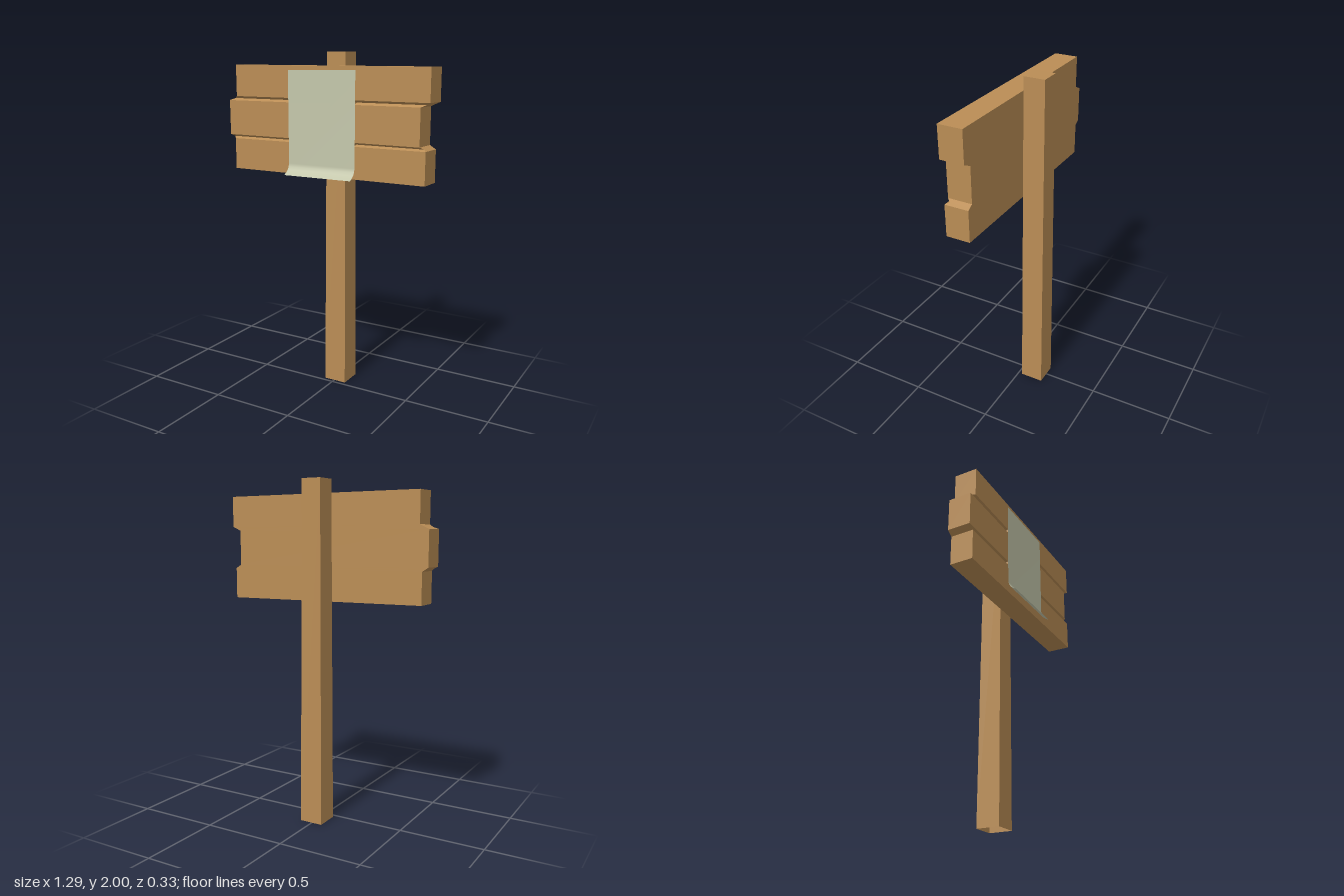
import * as THREE from 'three';

// Joins closed rings of points (counter-clockwise from above, lowest ring first) into a faceted solid.
function loft(rings, closeBottom) {
  const pos = [];
  const tri = (a, b, c) => pos.push(...a, ...b, ...c);
  const n = rings[0].length;
  for (let r = 0; r < rings.length - 1; r++) {
    for (let i = 0; i < n; i++) {
      const j = (i + 1) % n;
      const [a, b, c, d] = [rings[r][i], rings[r][j], rings[r + 1][j], rings[r + 1][i]];
      tri(a, b, c);
      tri(a, c, d);
    }
  }
  const top = rings[rings.length - 1], low = rings[0];
  for (let i = 1; i < n - 1; i++) {
    // fan from the last (back) corner keeps the flat caps clean
    tri(top[n - 1], top[i - 1], top[i]);
    if (closeBottom) tri(low[n - 1], low[i], low[i - 1]);
  }
  const g = new THREE.BufferGeometry();
  g.setAttribute('position', new THREE.Float32BufferAttribute(pos, 3));
  g.computeVertexNormals();
  return g;
}

export function createModel() {
  const model = new THREE.Group();
  const wood = new THREE.MeshStandardMaterial({ color: 0xba8d55, flatShading: true, side: THREE.DoubleSide });
  const paper = new THREE.MeshStandardMaterial({ color: 0xc4c7ab, side: THREE.DoubleSide });
  const add = (name, geometry, material) => {
    const mesh = new THREE.Mesh(geometry, material);
    mesh.name = name;
    model.add(mesh);
  };

  // Tapered square post, open underneath
  const square = (y, x0, x1, z0, z1) => [[x0, y, z1], [x1, y, z1], [x1, y, z0], [x0, y, z0]];
  add('post', loft([
    square(0, -0.065, 0.075, -0.165, -0.025),
    square(2, -0.055, 0.065, -0.155, -0.032),
  ], false), wood);

  // Board of three staggered planks: left x, left y, right x, right y, groove depth
  const back = -0.03, front = 0.11;
  const rows = [
    [-0.613, 1.312, 0.625, 1.306, 0],
    [-0.613, 1.494, 0.625, 1.488, 0],
    [-0.63, 1.505, 0.608, 1.498, 0.02],
    [-0.648, 1.517, 0.59, 1.509, 0],
    [-0.648, 1.72, 0.59, 1.715, 0],
    [-0.62, 1.732, 0.615, 1.727, 0.02],
    [-0.595, 1.745, 0.643, 1.739, 0],
    [-0.595, 1.927, 0.643, 1.92, 0],
  ];
  add('plankBoard', loft(rows.map(([xl, yl, xr, yr, depth]) => {
    const at = (x, z) => [x, yl + (yr - yl) * (x - xl) / (xr - xl), z];
    const sunk = front - depth;
    // the grooves stop behind the notice
    return [
      at(xl, sunk), at(-0.223, sunk), at(-0.215, front), at(0.2, front),
      at(0.208, sunk), at(xr, sunk), at(xr, back), at(xl, back),
    ];
  }), true), wood);

  // Paper notice with its lower edge curling forward
  const profile = [[1.9, 0.115], [1.37, 0.116], [1.35, 0.122], [1.332, 0.132], [1.32, 0.147], [1.307, 0.167]];
  const sheet = new THREE.PlaneGeometry(0.433, 1, 1, profile.length - 1);
  const p = sheet.attributes.position;
  for (let i = 0; i < p.count; i++) {
    const [y, z] = profile[Math.floor(i / 2)];
    p.setXYZ(i, p.getX(i) - 0.007, y, z);
  }
  sheet.computeVertexNormals();
  add('paperNotice', sheet, paper);

  return model;
}
